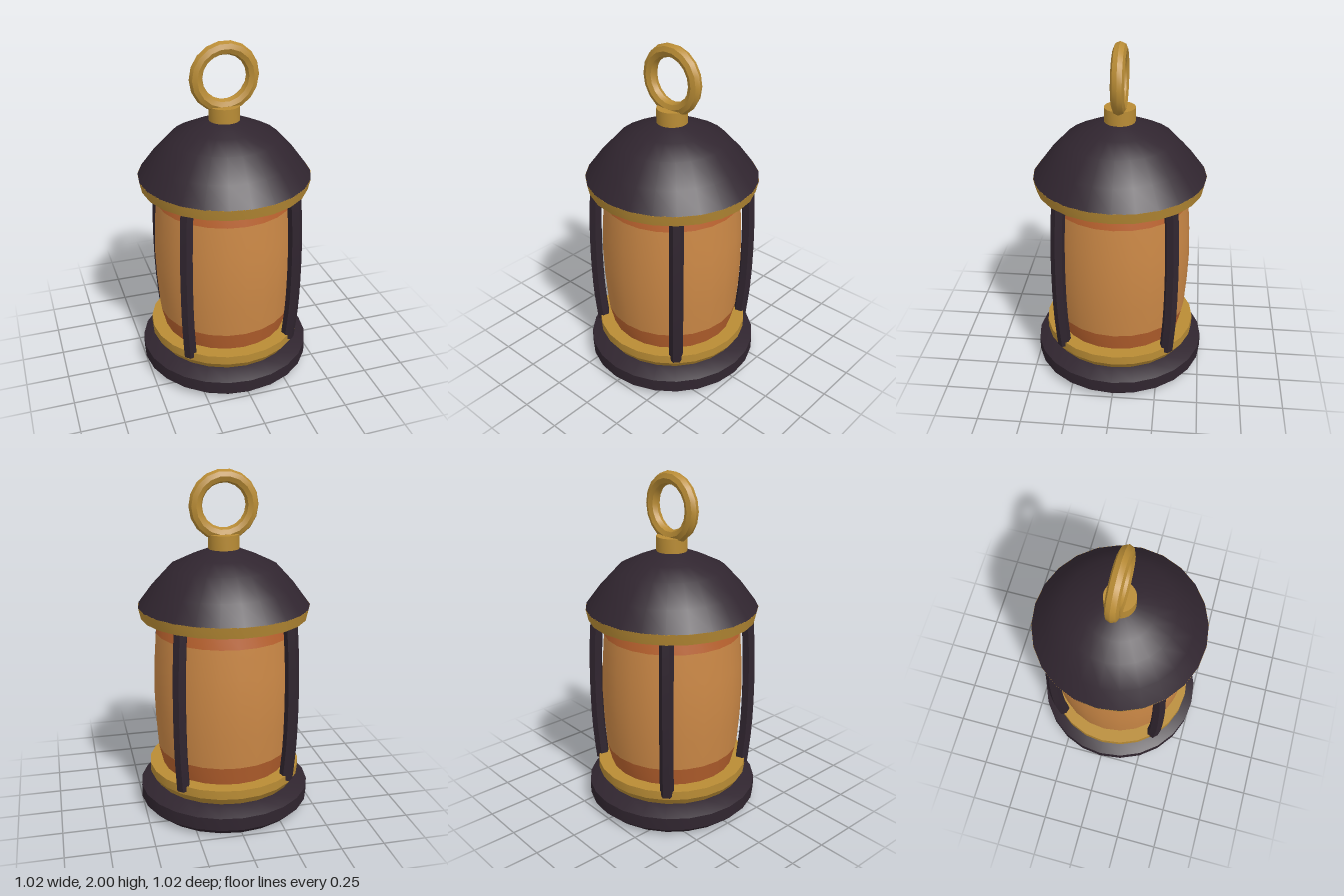
import * as THREE from 'three';
import { toCreasedNormals } from 'three/addons/utils/BufferGeometryUtils.js';

const SIDES = 24;

function material(name, color) {
  const m = new THREE.MeshStandardMaterial({ color });
  m.name = name;
  return m;
}

export function createModel() {
  const iron = material('dark iron', 0x30252f);
  const brass = material('brass', 0xb98c35);
  const glass = material('amber glass', 0xcb8846);
  const band = material('burnt orange', 0xb9622e);

  const model = new THREE.Group();
  model.name = 'lantern';

  function add(name, geometry, mat, parent = model) {
    const mesh = new THREE.Mesh(geometry, mat);
    mesh.name = name;
    parent.add(mesh);
    return mesh;
  }

  // Turned part from [radius, height] pairs, listed bottom to top
  function turned(name, profile, mat, crease = 0.5) {
    const points = profile.map(([r, y]) => new THREE.Vector2(r, y));
    return add(name, toCreasedNormals(new THREE.LatheGeometry(points, SIDES), crease), mat);
  }

  // Base and lower collar
  turned('base', [[0, 0], [0.465, 0], [0.51, 0.042], [0.51, 0.118], [0.42, 0.162], [0, 0.162]], iron);
  turned('lowerCollar', [[0, 0.16], [0.42, 0.16], [0.452, 0.207], [0.452, 0.26], [0, 0.26]], brass);

  // Bulging glass with a darker band at each end
  turned('lowerGlassBand', [[0.37, 0.255], [0.398, 0.372]], band);
  turned('glass', [[0.398, 0.372], [0.411, 0.55], [0.417, 0.725], [0.411, 0.9], [0.398, 1.08]], glass);
  turned('upperGlassBand', [[0.398, 1.08], [0.375, 1.18]], band);

  // Upper rim, domed roof and neck
  turned('upperRim', [[0, 1.172], [0.483, 1.172], [0.497, 1.236], [0, 1.236]], brass);
  turned('roof', [[0.497, 1.235], [0.415, 1.345], [0.31, 1.459], [0.2, 1.512], [0.08, 1.56], [0, 1.56]], iron, 0.9);
  turned('neck', [[0.088, 1.55], [0.088, 1.64], [0, 1.64]], brass);

  // Hanging ring
  const ring = add('ring', toCreasedNormals(new THREE.TorusGeometry(0.162, 0.038, 8, 18), 0.5), brass);
  ring.position.y = 1.8;

  // Four bowed bars on the diagonals
  const path = new THREE.CatmullRomCurve3([
    [0.432, 0.23], [0.451, 0.45], [0.457, 0.72], [0.451, 0.97], [0.435, 1.19],
  ].map(([r, y]) => new THREE.Vector3(r, y, 0)));
  const barGeometry = toCreasedNormals(new THREE.TubeGeometry(path, 10, 0.04, 6), 0.5);
  for (let i = 0; i < 4; i++) {
    const bar = new THREE.Group();
    bar.name = 'bar' + (i + 1);
    bar.rotation.y = Math.PI / 4 + i * Math.PI / 2;
    add('barShaft', barGeometry, iron, bar);
    const cap = add('barFoot', new THREE.CircleGeometry(0.04, 6), iron, bar);
    cap.position.copy(path.getPoint(0));
    cap.lookAt(cap.position.clone().sub(path.getTangent(0)));
    model.add(bar);
  }

  return model;
}
